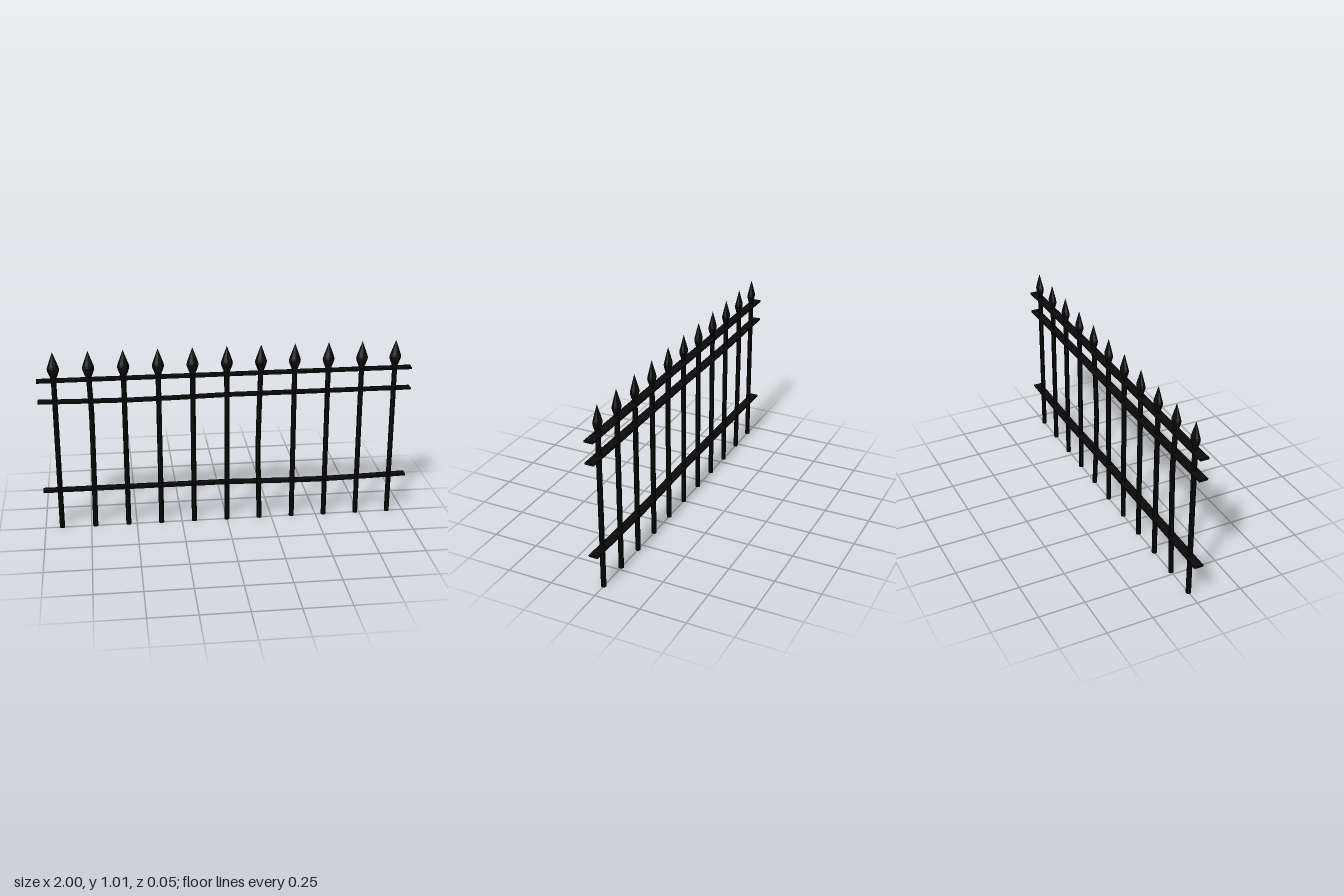
import * as THREE from 'three';

export function createModel() {
  const fence = new THREE.Group();
  fence.name = 'fence';
  const iron = new THREE.MeshStandardMaterial({ color: 0x0b0b0b });
  iron.name = 'black iron';
  iron.flatShading = true;

  const add = (geometry, name, x, y) => {
    const mesh = new THREE.Mesh(geometry, iron);
    mesh.name = name;
    mesh.position.set(x, y, 0);
    fence.add(mesh);
  };

  // Moves vertices by a rule that receives and edits a point
  const bend = (geometry, rule) => {
    const pos = geometry.attributes.position;
    const p = new THREE.Vector3();
    for (let i = 0; i < pos.count; i++) {
      rule(p.fromBufferAttribute(pos, i));
      pos.setXYZ(i, p.x, p.y, p.z);
    }
    geometry.computeVertexNormals();
    return geometry;
  };

  // Bump that is 1 at the centre and falls to 0 at the given reach
  const bump = (t, centre, reach) => {
    const d = Math.min(1, Math.abs(t - centre) / reach);
    return 0.5 * (1 - d) + 0.5 * Math.cos(d * Math.PI / 2);
  };

  // Upright bars with spear heads; two bars are bent
  const barHeight = 0.88;
  const bends = {
    1: { y: 0.65, dx: 0.007, dz: -0.008 },
    6: { y: 0.44, dx: -0.012, dz: 0.009 },
  };
  const spear = new THREE.LatheGeometry([
    [0.013, 0.85], [0.016, 0.868], [0.03, 0.905], [0.032, 0.918], [0.029, 0.93], [0, 1.01],
  ].map(([r, y]) => new THREE.Vector2(r, y)), 8);
  spear.scale(1, 1, 0.64);

  for (let i = 0; i < 11; i++) {
    const x = (i - 5) * 0.182;
    const bar = new THREE.CylinderGeometry(0.014, 0.014, barHeight, 8, 8);
    bar.translate(0, barHeight / 2, 0);
    const b = bends[i];
    if (b) bend(bar, p => {
      const k = bump(p.y, b.y, p.y < b.y ? b.y : barHeight - b.y);
      p.x += b.dx * k;
      p.z += b.dz * k;
    });
    add(bar, 'bar', x, 0);
    add(spear, 'spearHead', x, 0);
  }

  // Flat horizontal rails; the lower two sag on one side
  const rails = [
    { name: 'topRail', y: 0.854, sag: 0, x: 0 },
    { name: 'middleRail', y: 0.738, sag: 0.008, x: -0.5 },
    { name: 'lowerRail', y: 0.227, sag: 0.011, x: 0.5 },
  ];
  for (const r of rails) {
    const rail = bend(new THREE.BoxGeometry(2, 0.01, 0.048, 16, 1, 1), p => {
      p.y -= r.sag * bump(p.x, r.x, 0.5);
    });
    add(rail, r.name, 0, r.y);
  }
  return fence;
}
